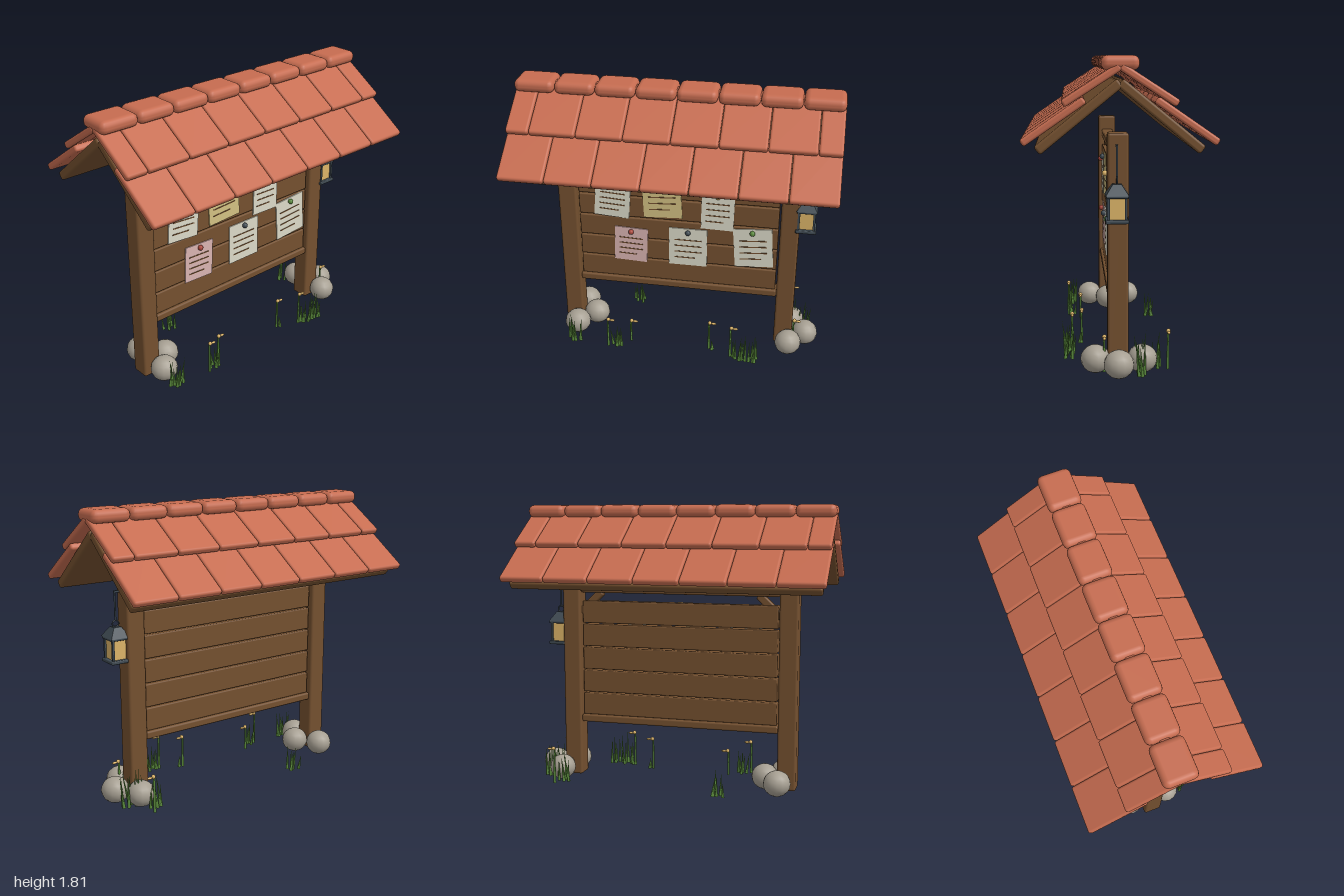
import * as THREE from 'three';
import { RoundedBoxGeometry } from 'three/addons/geometries/RoundedBoxGeometry.js';

const mat = (name, color, extra = {}) => {
  const m = new THREE.MeshStandardMaterial({ color, ...extra });
  m.name = name;
  return m;
};

export function createModel() {
  const wood = mat('wood', 0x74502f);
  const clay = mat('roof clay', 0xc66c50);
  const cream = mat('cream paper', 0xdcdac8);
  const yellow = mat('yellow paper', 0xd3c183);
  const pink = mat('pink paper', 0xdab4b2);
  const stone = mat('stone', 0xa69f92);
  const leaf = mat('leaf green', 0x5a8a3c);
  const metal = mat('dark metal', 0x3f4a52);
  const glow = mat('warm amber', 0xdcb468);
  const red = mat('pin red', 0xa8463a);

  const model = new THREE.Group();
  model.name = 'noticeBoard';

  let seed = 7;
  const rand = (a, b) => {
    seed = (seed * 16807) % 2147483647;
    return a + (b - a) * (seed / 2147483647);
  };
  const add = (parent, name, geo, material, x = 0, y = 0, z = 0) => {
    const mesh = new THREE.Mesh(geo, material);
    mesh.name = name;
    mesh.position.set(x, y, z);
    parent.add(mesh);
    return mesh;
  };
  const block = (w, h, d, r = 0.01) => new RoundedBoxGeometry(w, h, d, 2, r);
  const group = (name, x = 0, y = 0, z = 0) => {
    const g = new THREE.Group();
    g.name = name;
    g.position.set(x, y, z);
    model.add(g);
    return g;
  };

  // Posts with diagonal braces
  for (const s of [-1, 1]) {
    add(model, 'post', block(0.12, 1.37, 0.12, 0.015), wood, s * 0.72, 0.705, 0);
    const brace = add(model, 'brace', block(0.2, 0.05, 0.05), wood, s * 0.595, 1.185, 0);
    brace.rotation.z = -s * 0.76;
  }

  // Board planks and rails
  for (let i = 0; i < 5; i++)
    add(model, 'plank', block(1.3, 0.146, 0.07, 0.008), wood, 0, 0.505 + i * 0.1535, 0);
  add(model, 'bottomRail', block(1.32, 0.05, 0.1, 0.012), wood, 0, 0.407, 0);
  add(model, 'topRail', block(1.32, 0.05, 0.08, 0.012), wood, 0, 1.272, 0);

  // Slab sloping down from one (z, y) point to another, in the yz plane
  const slope = (parent, name, material, x, w, t, z0, y0, z1, y1) => {
    const geo = block(w, t, Math.hypot(z1 - z0, y1 - y0), Math.min(t * 0.4, 0.015));
    add(parent, name, geo, material, x, (y0 + y1) / 2, (z0 + z1) / 2)
      .rotation.x = Math.atan2(y0 - y1, z1 - z0);
  };

  // Two roof sides: deck, lower tiles, staggered upper tiles
  for (const turn of [0, Math.PI]) {
    const side = group('roofSide');
    side.rotation.y = turn;
    slope(side, 'roofDeck', wood, 0, 1.94, 0.055, 0, 1.672, 0.445, 1.31);
    const w = 2 / 7;
    for (let i = 0; i < 7; i++)
      slope(side, 'lowerTile', clay, -1 + w * (i + 0.5), w - 0.003, 0.043, 0.19, 1.583, 0.525, 1.353);
    for (let i = 0; i <= 7; i++) {
      const a = Math.max(-1, -1 + w * (i - 0.5)), b = Math.min(1, -1 + w * (i + 0.5));
      slope(side, 'upperTile', clay, (a + b) / 2, b - a - 0.003, 0.043, 0.0, 1.758, 0.307, 1.56);
    }
  }

  // Ridge caps
  for (let i = 0; i < 8; i++)
    add(model, 'ridgeCap', block(0.248, 0.08, 0.205, 0.036), clay, -0.875 + i * 0.25, 1.775, 0);
  add(model, 'ridgeCore', block(1.9, 0.05, 0.06, 0.015), clay, 0, 1.768, 0);

  // Pinned notices: x, y, width, height, tilt, paper, pin
  const notices = [
    [-0.425, 1.015, 0.23, 0.25, -0.07, cream, red],
    [-0.10, 1.05, 0.25, 0.275, 0.05, yellow, metal],
    [0.26, 0.99, 0.21, 0.27, -0.02, cream, glow],
    [-0.31, 0.69, 0.22, 0.25, -0.04, pink, red],
    [0.07, 0.705, 0.25, 0.275, 0, cream, metal],
    [0.495, 0.74, 0.25, 0.28, 0.07, cream, leaf],
  ];
  for (const [x, y, w, h, tilt, paper, pin] of notices) {
    const g = group('notice', x, y, 0.04);
    g.rotation.z = tilt;
    add(g, 'paper', new THREE.BoxGeometry(w, h, 0.006), paper);
    for (let i = 0; i < 4; i++) {
      const len = w * (i === 3 ? 0.55 : 0.72);
      add(g, 'writingLine', new THREE.BoxGeometry(len, 0.007, 0.003), wood,
        (len - w * 0.72) / 2, h * (0.19 - i * 0.16), 0.004);
    }
    add(g, 'pin', new THREE.SphereGeometry(0.018, 12, 8), pin, 0, h / 2 - 0.025, 0.014);
  }

  // Hanging lantern
  const lantern = group('lantern', 0.82, 0, 0.01);
  add(lantern, 'lanternBase', block(0.13, 0.022, 0.13, 0.006), metal, 0, 0.908, 0);
  add(lantern, 'lanternGlass', new THREE.BoxGeometry(0.088, 0.13, 0.088), glow, 0, 0.98, 0);
  for (const sx of [-1, 1])
    for (const sz of [-1, 1])
      add(lantern, 'lanternBar', new THREE.BoxGeometry(0.014, 0.14, 0.014), metal, sx * 0.048, 0.98, sz * 0.048);
  add(lantern, 'lanternRim', block(0.125, 0.016, 0.125, 0.005), metal, 0, 1.046, 0);
  const hood = new THREE.CylinderGeometry(0.035, 0.092, 0.06, 4).toNonIndexed();
  hood.computeVertexNormals();
  add(lantern, 'lanternHood', hood, metal, 0, 1.082, 0).rotation.y = Math.PI / 4;
  add(lantern, 'lanternRing', new THREE.TorusGeometry(0.021, 0.005, 6, 16), metal, 0, 1.13, 0);
  add(lantern, 'lanternRod', new THREE.CylinderGeometry(0.006, 0.006, 0.18, 8), metal, 0, 1.238, 0);
  add(lantern, 'lanternArm', new THREE.BoxGeometry(0.06, 0.012, 0.012), metal, -0.025, 1.322, 0);

  // Stones around each post
  for (const cx of [-0.72, 0.72])
    for (const [dx, z, r] of [[0.04, 0.13, 0.085], [0.145, 0, 0.085], [0.045, -0.14, 0.085]]) {
      const rock = add(model, 'stone', new THREE.SphereGeometry(r, 14, 10), stone, cx + dx, 0.09, z);
      rock.scale.set(1.03, 0.96, 1);
      rock.rotation.y = rand(0, 3);
    }

  // Grass tufts: x, z, spread, blades, tallest
  const tufts = [
    [-0.66, 0.24, 0.06, 9, 0.2], [-0.36, 0.26, 0.06, 6, 0.17], [-0.34, -0.27, 0.05, 6, 0.17],
    [0.25, 0.21, 0.02, 2, 0.12], [0.41, 0.27, 0.025, 4, 0.16], [0.51, 0.28, 0.06, 9, 0.22],
    [0.72, -0.23, 0.04, 5, 0.22], [0.82, -0.15, 0.08, 10, 0.26],
  ];
  for (const [x, z, spread, count, tall] of tufts) {
    const tuft = group('grassTuft', x, 0.02, z);
    for (let i = 0; i < count; i++) {
      const h = tall * rand(0.6, 1);
      const geo = new THREE.ConeGeometry(0.011, h, 5).translate(0, h / 2, 0);
      const blade = add(tuft, 'grassBlade', geo, leaf, rand(-spread, spread), 0, rand(-spread, spread) * 0.5);
      blade.rotation.set(rand(-0.12, 0.12), rand(0, 3), rand(-0.15, 0.15));
    }
  }

  // Small flowers: x, z, height
  for (const [x, z, h] of [[-0.43, 0.28, 0.235], [-0.29, 0.2, 0.185], [0.24, 0.2, 0.23],
    [0.39, 0.26, 0.25], [0.76, -0.29, 0.25], [0.79, 0.08, 0.23]]) {
    const flower = group('flower', x, 0, z);
    add(flower, 'stem', new THREE.CylinderGeometry(0.006, 0.009, h - 0.02, 5), leaf, 0, h / 2 + 0.01, 0);
    add(flower, 'bloom', new THREE.SphereGeometry(0.013, 8, 6), glow, 0.005, h, 0);
    add(flower, 'petal', new THREE.SphereGeometry(0.016, 8, 6), glow, 0.03, h - 0.004, 0).scale.set(1.2, 0.5, 0.6);
  }

  return model;
}
